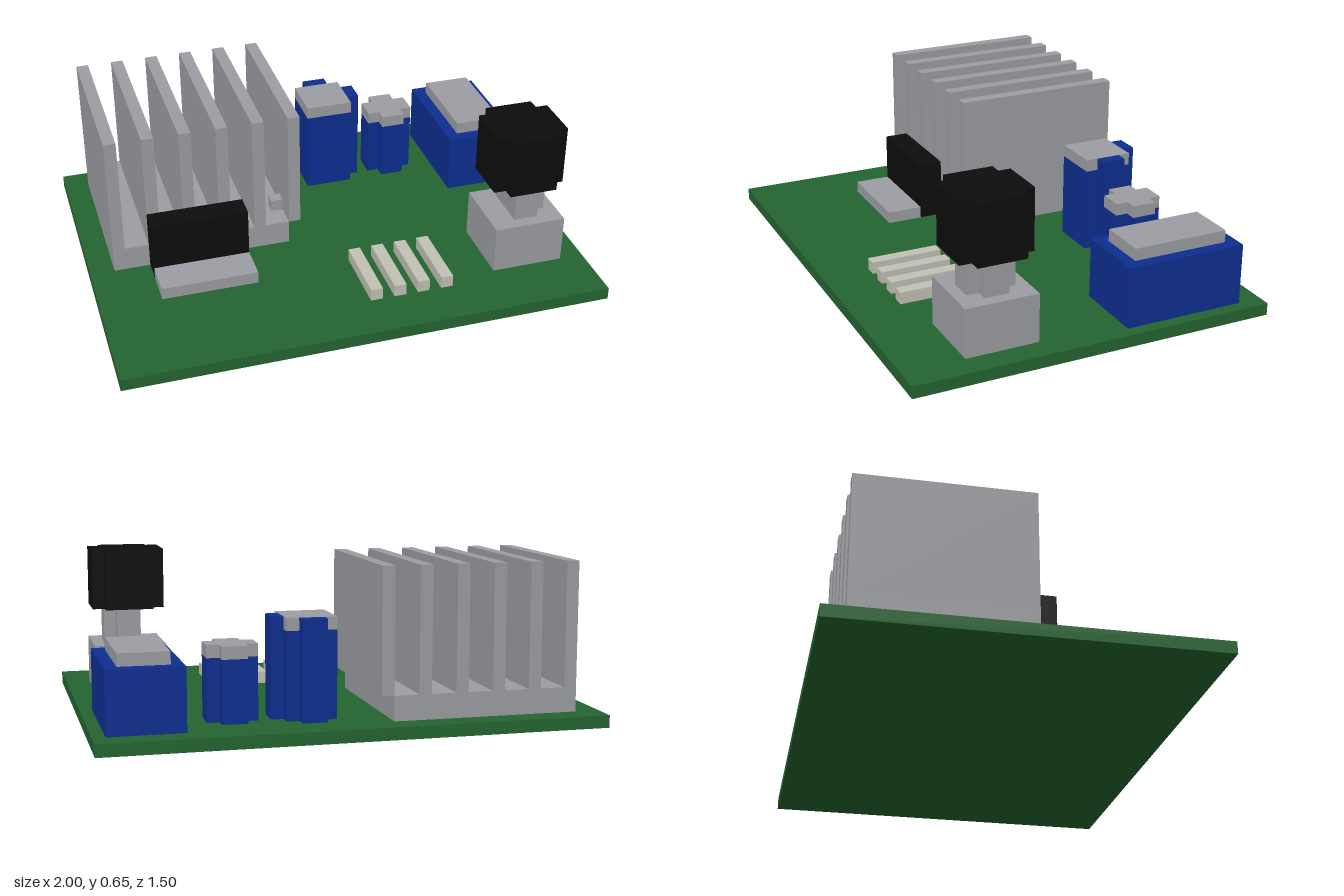
import * as THREE from 'three';

const mat = (name, color) => {
  const m = new THREE.MeshStandardMaterial({ color });
  m.name = name;
  return m;
};

export function createModel() {
  const green = mat('board green', 0x246430);
  const grey = mat('metal grey', 0x9b9da2);
  const blue = mat('component blue', 0x0d2e90);
  const black = mat('plastic black', 0x0d0d0d);
  const cream = mat('ceramic cream', 0xc0c0b4);

  const model = new THREE.Group();
  model.name = 'circuitBoard';

  const group = (name) => {
    const g = new THREE.Group();
    g.name = name;
    model.add(g);
    return g;
  };
  // Box given by its extents along each axis
  const box = (parent, name, material, [x0, x1], [y0, y1], [z0, z1]) => {
    const mesh = new THREE.Mesh(new THREE.BoxGeometry(x1 - x0, y1 - y0, z1 - z0), material);
    mesh.position.set((x0 + x1) / 2, (y0 + y1) / 2, (z0 + z1) / 2);
    mesh.name = name;
    parent.add(mesh);
  };
  // Upright prism with a plus-shaped plan: half-size r, corners notched by n
  const plus = (parent, name, material, cx, cz, r, n, y0, y1) => {
    const a = r - n;
    const pts = [[a, r], [-a, r], [-a, a], [-r, a], [-r, -a], [-a, -a],
      [-a, -r], [a, -r], [a, -a], [r, -a], [r, a], [a, a]];
    const shape = new THREE.Shape(pts.map(([x, y]) => new THREE.Vector2(x, y)));
    const geo = new THREE.ExtrudeGeometry(shape, { depth: y1 - y0, bevelEnabled: false });
    geo.rotateX(-Math.PI / 2);
    const mesh = new THREE.Mesh(geo, material);
    mesh.position.set(cx, y0, cz);
    mesh.name = name;
    parent.add(mesh);
  };

  box(model, 'board', green, [-1, 1], [0, 0.05], [-0.75, 0.75]);

  // Heat sink with six fins
  const sink = group('heatSink');
  box(sink, 'sinkBase', grey, [-0.9, -0.15], [0.05, 0.15], [-0.65, 0.05]);
  for (let i = 0; i < 6; i++) {
    const x = -0.9 + i * 0.15;
    box(sink, 'fin', grey, [x, x + 0.05], [0.15, 0.65], [-0.65, 0.05]);
  }
  box(sink, 'sinkStud', grey, [-0.2, -0.15], [0.15, 0.2], [-0.1, -0.05]);

  // Power chip in front of the heat sink
  const chip = group('powerChip');
  box(chip, 'chipBody', black, [-0.75, -0.35], [0.05, 0.3], [0.05, 0.15]);
  box(chip, 'chipTab', grey, [-0.75, -0.35], [0.05, 0.1], [0.15, 0.3]);

  // Tall capacitor with two side ribs
  const tall = group('tallCapacitor');
  box(tall, 'capacitorBody', blue, [0.05, 0.25], [0.05, 0.4], [-0.55, -0.35]);
  box(tall, 'capacitorTop', grey, [0.05, 0.25], [0.4, 0.45], [-0.55, -0.35]);
  box(tall, 'sideRib', blue, [0.25, 0.3], [0.05, 0.45], [-0.5, -0.4]);
  box(tall, 'backRib', blue, [0.1, 0.2], [0.05, 0.45], [-0.6, -0.55]);

  // Short capacitor
  const short = group('shortCapacitor');
  plus(short, 'capacitorBody', blue, 0.45, -0.45, 0.1, 0.05, 0.05, 0.3);
  plus(short, 'capacitorTop', grey, 0.45, -0.45, 0.1, 0.05, 0.3, 0.35);

  // Relay
  const relay = group('relay');
  box(relay, 'relayBody', blue, [0.65, 0.95], [0.05, 0.3], [-0.65, -0.15]);
  box(relay, 'relayLid', grey, [0.7, 0.9], [0.3, 0.35], [-0.6, -0.2]);

  // Dial: base, stepped shaft and knob
  const dial = group('dial');
  box(dial, 'dialBase', grey, [0.6, 0.9], [0.05, 0.25], [0.2, 0.5]);
  box(dial, 'shaft', grey, [0.7, 0.8], [0.25, 0.4], [0.25, 0.45]);
  box(dial, 'shaftRib', grey, [0.8, 0.85], [0.25, 0.4], [0.3, 0.4]);
  plus(dial, 'knob', black, 0.75, 0.35, 0.15, 0.05, 0.4, 0.65);

  // Row of resistors
  const resistors = group('resistors');
  for (let i = 0; i < 4; i++) {
    const x = 0.05 + i * 0.1;
    box(resistors, 'resistor', cream, [x, x + 0.05], [0.05, 0.1], [0.25, 0.55]);
  }

  return model;
}
